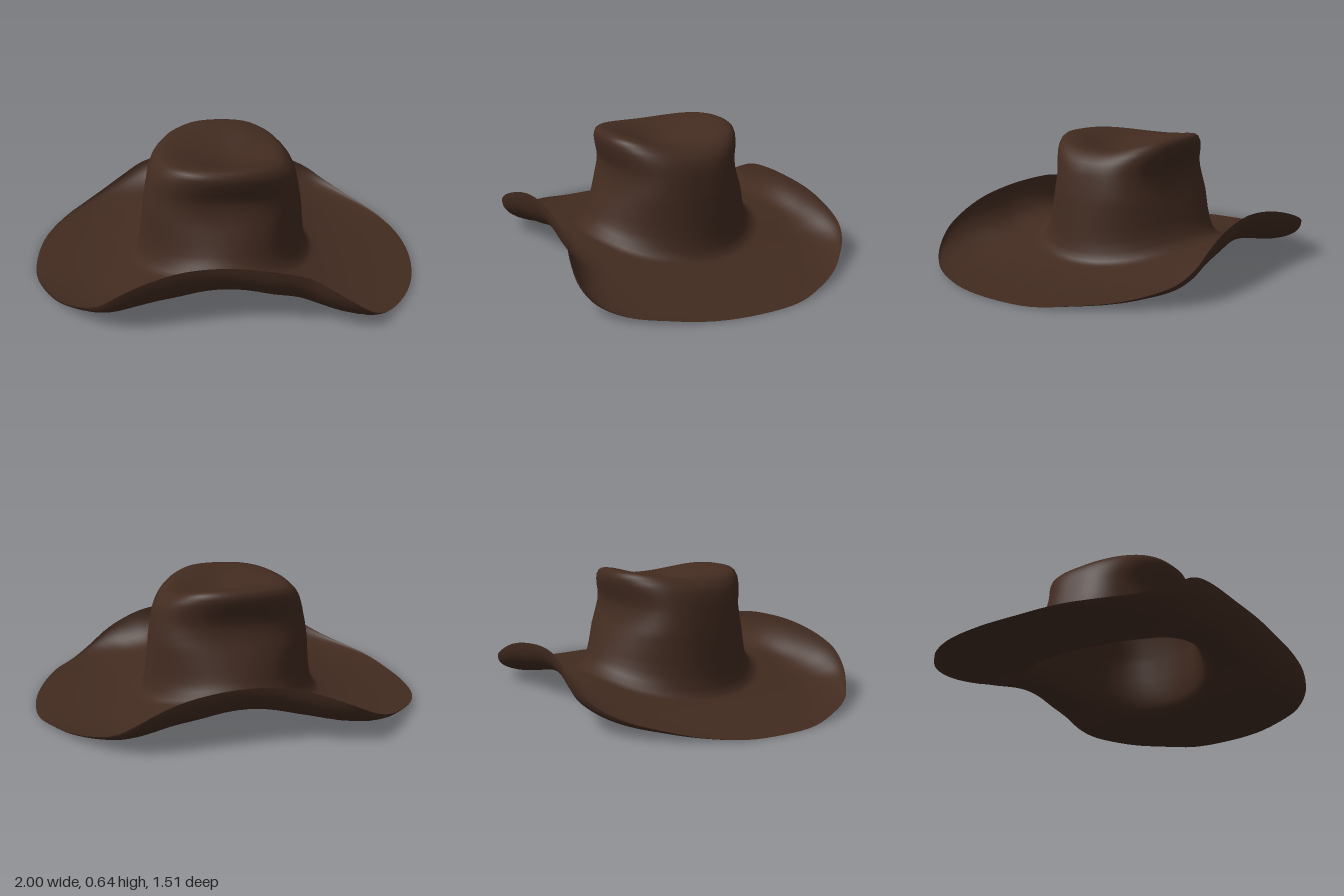
import * as THREE from 'three';

const N = 144; // points around each ring
const { lerp, smoothstep } = THREE.MathUtils;

// Brim edge: closed loop from the left side round by the front
const EDGE = [
  [1, .01, .05], [.97, .012, .27], [.9, .025, .46], [.8, .035, .61], [.7, .08, .71], [.6, .155, .75],
  [.5, .22, .745], [.38, .28, .72], [.2, .315, .71], [0, .33, .70], [-.2, .32, .71], [-.38, .275, .735],
  [-.5, .22, .745], [-.6, .15, .72], [-.72, .09, .63], [-.83, .055, .52], [-.92, .035, .37], [-.98, .012, .2],
  [-1, .01, 0], [-.98, .015, -.2], [-.9, .035, -.38], [-.8, .06, -.51], [-.7, .09, -.62], [-.6, .135, -.7],
  [-.48, .2, -.752], [-.35, .25, -.74], [-.2, .285, -.71], [0, .3, -.695], [.25, .275, -.71], [.4, .23, -.72],
  [.53, .165, -.72], [.62, .11, -.68], [.72, .07, -.59], [.82, .045, -.48], [.91, .03, -.34], [.98, .012, -.17],
];

// Crown wall rings: height, half width, front depth, back depth
const CROWN = [
  [.15, .485, .5, .48], [.158, .462, .468, .448], [.185, .446, .44, .42], [.22, .435, .42, .402],
  [.26, .427, .4, .384], [.34, .415, .36, .347], [.38, .408, .344, .326], [.42, .401, .333, .311],
  [.46, .393, .33, .302], [.49, .388, .335, .303], [.52, .382, .345, .31], [.55, .375, .355, .322],
  [.58, .366, .363, .331], [.605, .352, .367, .336], [.628, .33, .363, .332], [.641, .305, .35, .318],
  [.643, .275, .33, .295],
];

// Height of the brim floor: an arch across the width
const arch = x => .012 + .138 * Math.exp(-((Math.abs(x) / .45) ** 2.2));

function crownPoint([y, rx, front, back], a) {
  const top = smoothstep(y, .45, .64);
  // round at the foot, squarer where the front and back are pinched in
  const power = 1 - .25 * smoothstep(y, .2, .42) + .12 * top;
  const square = v => Math.sign(v) * Math.abs(v) ** power;
  const c = Math.cos(a), s = Math.sin(a);
  const x = -.01 + rx * square(c);
  // the top edge dips at the sides, more on the left; the foot follows the arch
  const dip = (c > 0 ? .055 : .025) * Math.abs(c) ** 3 * top;
  const lift = .01 * Math.max(-s, 0) * top;
  const drop = (.15 - arch(x)) * (1 - smoothstep(y, .15, .34));
  return new THREE.Vector3(x, y - dip + lift - drop, (s > 0 ? front : back) * square(s));
}

// Brim: arched floor with an edge that curls up, steeply at front and back
function brimPoint(edge, a, floorT, curl) {
  const base = crownPoint(CROWN[0], a);
  const r = Math.hypot(edge.x, edge.z);
  const k = .14 + .14 * smoothstep(Math.abs(edge.x), .2, .55);
  const reach = (r - k + k * Math.sin(curl)) / r;
  const x = lerp(base.x, edge.x * reach, floorT), z = lerp(base.z, edge.z * reach, floorT);
  return new THREE.Vector3(x, arch(x) + (edge.y - arch(edge.x)) * (1 - Math.cos(curl)), z);
}

// Dished top, sunk towards a point slightly off centre
function topPoint(a, s) {
  const rim = crownPoint(CROWN[CROWN.length - 1], a);
  return new THREE.Vector3(
    lerp(.05, rim.x, s),
    lerp(.565, rim.y, smoothstep(s, 0, 1.05)),
    lerp(.05, rim.z, s));
}

export function createModel() {
  const felt = new THREE.MeshStandardMaterial({ color: 0x422b20, side: THREE.DoubleSide });
  felt.name = 'dark brown felt';

  const curve = new THREE.CatmullRomCurve3(EDGE.map(p => new THREE.Vector3(...p)), true);
  const edges = Array.from({ length: N }, (_, i) => curve.getPoint(i / N));

  // Rings from the brim edge inwards and up to the middle of the crown
  const rings = [];
  for (let i = 10; i > 0; i--) rings.push((e, a) => brimPoint(e, a, 1, i / 10 * Math.PI / 2));
  for (let i = 10; i > 0; i--) rings.push((e, a) => brimPoint(e, a, i / 10, 0));
  const join = rings.length;
  for (const ring of CROWN) rings.push((e, a) => crownPoint(ring, a));
  for (const s of [.9, .8, .68, .55, .42, .3, .18, .08, 0]) rings.push((e, a) => topPoint(a, s));

  const positions = [];
  for (const ring of rings)
    for (const e of edges) positions.push(...ring(e, Math.atan2(e.z, e.x)).toArray());

  const strip = (from, to) => {
    const index = [];
    for (let j = from; j < to; j++)
      for (let i = 0; i < N; i++) {
        const a = j * N + i, b = j * N + (i + 1) % N;
        index.push(a, a + N, b, b, a + N, b + N);
      }
    return index;
  };

  // Normals are found on the whole surface so that brim and crown join smoothly
  const whole = new THREE.BufferGeometry();
  whole.setAttribute('position', new THREE.Float32BufferAttribute(positions, 3));
  whole.setIndex(strip(0, rings.length - 1));
  whole.computeVertexNormals();

  const group = new THREE.Group();
  group.name = 'hat';
  for (const [name, from, to] of [['brim', 0, join], ['crown', join, rings.length - 1]]) {
    const part = whole.clone();
    part.setIndex(strip(from, to));
    const mesh = new THREE.Mesh(part, felt);
    mesh.name = name;
    group.add(mesh);
  }
  return group;
}
